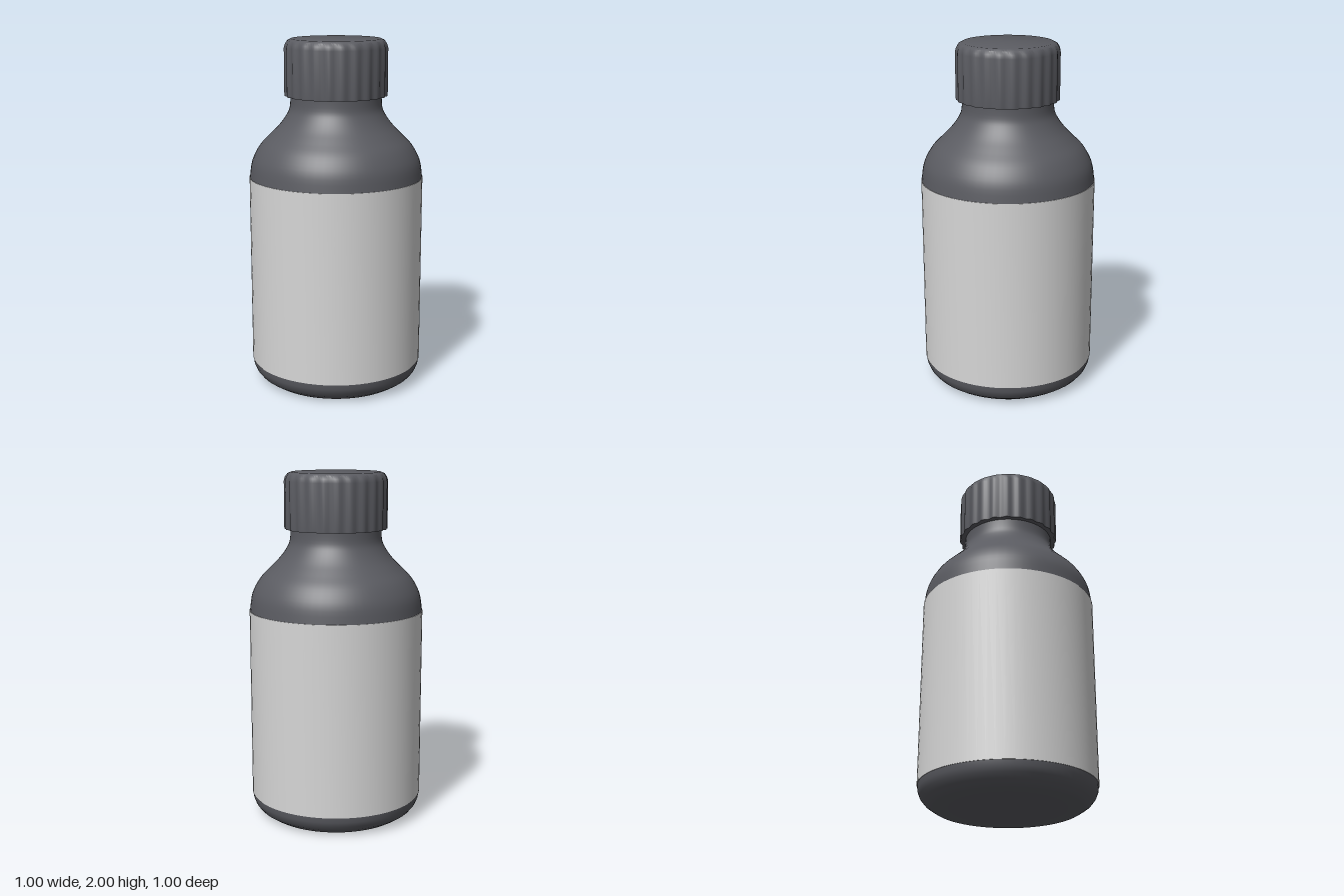
import * as THREE from 'three';
import { toCreasedNormals } from 'three/addons/utils/BufferGeometryUtils.js';

const darkPlastic = new THREE.MeshStandardMaterial({ color: 0x5a5b61 });
darkPlastic.name = 'darkPlastic';
const labelPaper = new THREE.MeshStandardMaterial({ color: 0xd6d6d6 });
labelPaper.name = 'labelPaper';

const RIBS = 24;

// Turned part from [radius, height] pairs, listed bottom to top
function turned(profile, segments) {
  return new THREE.LatheGeometry(profile.map(([r, y]) => new THREE.Vector2(r, y)), segments);
}

function addPart(group, name, geometry, material) {
  const mesh = new THREE.Mesh(toCreasedNormals(geometry, 0.6), material);
  mesh.name = name;
  group.add(mesh);
}

export function createModel() {
  const model = new THREE.Group();
  model.name = 'bottle';

  // Base with a rounded lower edge
  addPart(model, 'base', turned([
    [0, 0], [0.41, 0], [0.43, 0.012], [0.46, 0.033], [0.482, 0.06],
    [0.494, 0.09], [0.497, 0.12],
  ], 64), darkPlastic);

  // Straight wall carrying the wrapped label
  addPart(model, 'label', turned([
    [0.495, 0.12], [0.5, 0.12], [0.5, 1.215], [0.495, 1.215],
  ], 64), labelPaper);

  // Shoulder sweeping into the neck
  const sweep = new THREE.SplineCurve([
    [0.497, 1.215], [0.482, 1.31], [0.437, 1.395], [0.375, 1.46], [0.322, 1.515],
    [0.283, 1.57], [0.263, 1.62], [0.26, 1.70],
  ].map(([r, y]) => new THREE.Vector2(r, y)));
  addPart(model, 'shoulder', new THREE.LatheGeometry(sweep.getPoints(28), 64), darkPlastic);

  // Screw cap: ribs fade out over the rounded top edge
  const cap = turned([
    [0, 1.68], [0.24, 1.68], [0.289, 1.68], [0.29, 1.69], [0.29, 1.95], [0.286, 1.972],
    [0.275, 1.99], [0.255, 2], [0, 2],
  ], RIBS * 6);
  const pos = cap.attributes.position;
  for (let i = 0; i < pos.count; i++) {
    const x = pos.getX(i), y = pos.getY(i), z = pos.getZ(i);
    const r = Math.hypot(x, z);
    if (r < 0.25) continue;
    const fade = THREE.MathUtils.clamp((2 - y) / 0.05, 0, 1);
    const k = 1 + 0.005 * fade * Math.cos(RIBS * Math.atan2(x, z)) / r;
    pos.setXYZ(i, x * k, y, z * k);
  }
  addPart(model, 'cap', cap, darkPlastic);

  return model;
}
